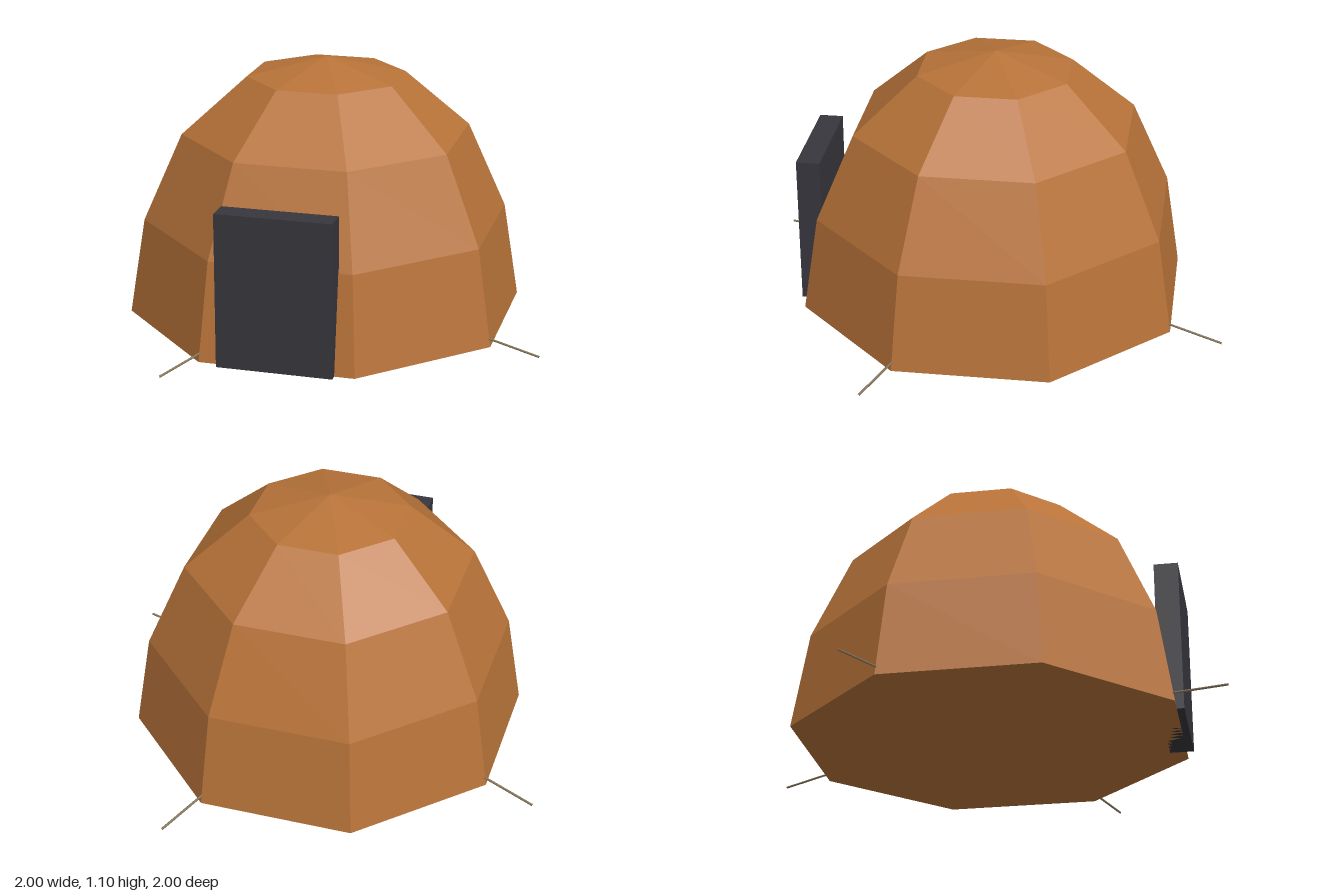
import * as THREE from 'three';

export function createModel() {
  const model = new THREE.Group();
  const canvas = new THREE.MeshStandardMaterial({ name: 'copper canvas', color: 0xb87339, flatShading: true });
  const dark = new THREE.MeshStandardMaterial({ name: 'dark door', color: 0x37363d });
  const cord = new THREE.MeshStandardMaterial({ name: 'tan cord', color: 0x8b7a5e });

  const add = (geometry, material, name) => {
    const mesh = new THREE.Mesh(geometry, material);
    mesh.name = name;
    model.add(mesh);
    return mesh;
  };

  // Eight-sided dome with a closed floor: [distance to flat side, height]
  const profile = [[0, 0], [0.78, 0], [0.718, 0.41], [0.565, 0.78], [0.31, 1.02], [0, 1.097]]
    .map(([r, y]) => new THREE.Vector2(r / Math.cos(Math.PI / 8), y));
  add(new THREE.LatheGeometry(profile, 8, Math.PI / 8), canvas, 'dome');

  // Door slab on the front side
  add(new THREE.BoxGeometry(0.48, 0.645, 0.1), dark, 'door').position.set(0, 0.3225, 0.76);

  // Guy ropes at every other corner, sloping down to the ground
  for (let i = 0; i < 4; i++) {
    const a = Math.PI / 8 + i * Math.PI / 2;
    const at = (r, y) => new THREE.Vector3(r * Math.cos(a), y, r * Math.sin(a));
    const path = new THREE.LineCurve3(at(0.8, 0.038), at(1.08, 0.016));
    add(new THREE.TubeGeometry(path, 1, 0.005, 6), cord, 'guyRope');
  }
  return model;
}
